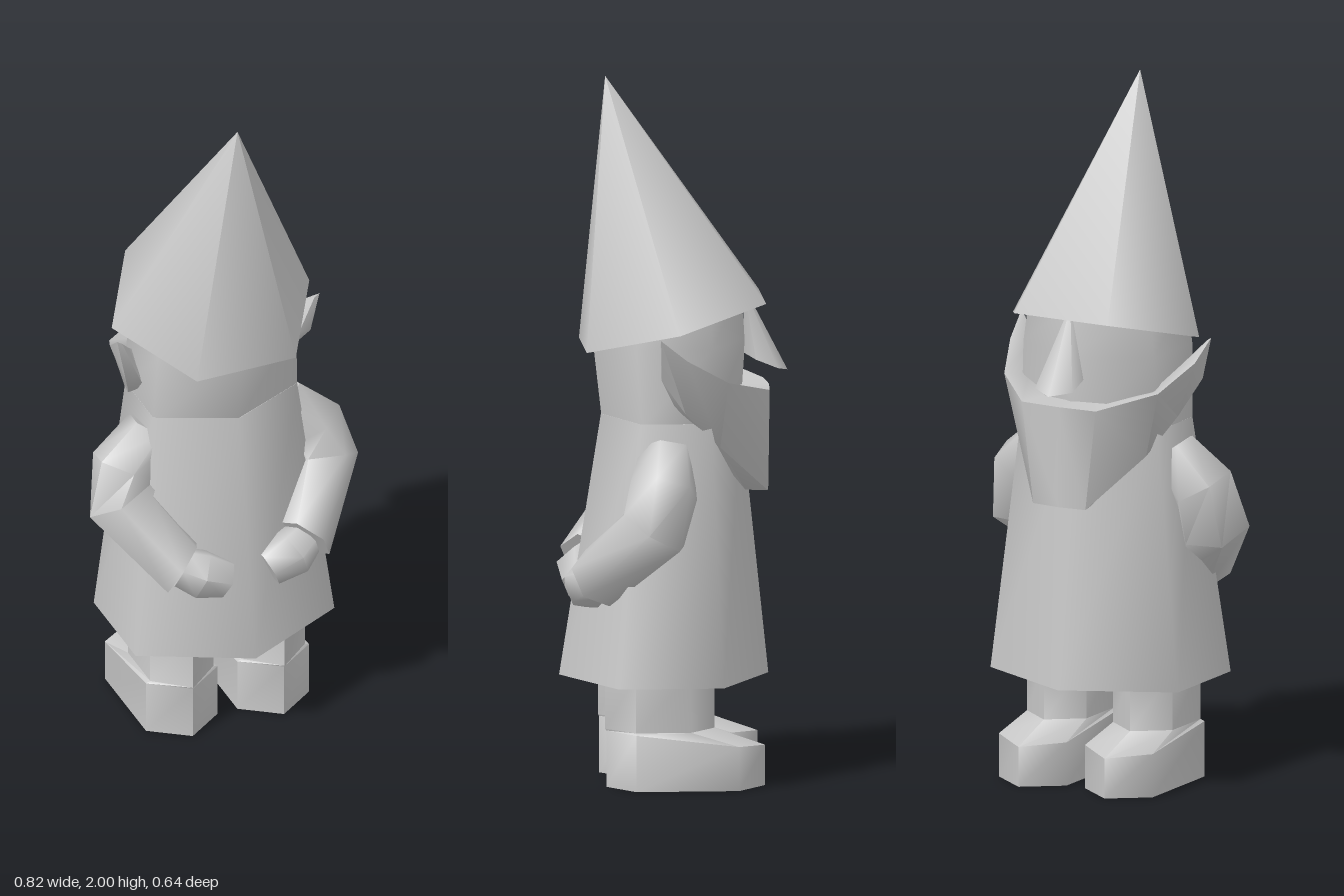
import * as THREE from 'three';
import { toCreasedNormals } from 'three/addons/utils/BufferGeometryUtils.js';

const stone = new THREE.MeshStandardMaterial({ color: 0xc8c8c8, side: THREE.DoubleSide });
stone.name = 'plain stone';

// Skins a chain of rings; a one-point ring makes a tip
function loft(rings, capStart = true, capEnd = true) {
  const pos = [];
  const tri = (a, b, c) => pos.push(...a, ...b, ...c);
  for (let k = 0; k < rings.length - 1; k++) {
    const p = rings[k], q = rings[k + 1], n = p.length;
    for (let i = 0; i < n; i++) {
      const j = (i + 1) % n;
      if (q.length === 1) { tri(p[i], p[j], q[0]); continue; }
      tri(p[i], p[j], q[j]);
      tri(p[i], q[j], q[i]);
    }
  }
  const first = rings[0], last = rings[rings.length - 1];
  if (capStart) for (let i = 1; i < first.length - 1; i++) tri(first[0], first[i + 1], first[i]);
  if (capEnd) for (let i = 1; i < last.length - 1; i++) tri(last[0], last[i], last[i + 1]);
  const g = new THREE.BufferGeometry();
  g.setAttribute('position', new THREE.Float32BufferAttribute(pos, 3));
  return toCreasedNormals(g, 1.2);
}

const mirror = rings => rings.map(r => r.map(([x, y, z]) => [-x, y, z]).reverse());

// Level six-sided ring; start turns it, yAt lets it slope with z
function hexRing(cx, cz, rx, rz, yAt, start = 0) {
  return Array.from({ length: 6 }, (_, i) => {
    const a = start + i * Math.PI / 3;
    const z = cz - rz * Math.sin(a);
    return [cx + rx * Math.cos(a), typeof yAt === 'number' ? yAt : yAt(z), z];
  });
}

// Six-sided ring square to a direction
function limbRing(c, d, r) {
  const dir = new THREE.Vector3(...d).normalize();
  const u = new THREE.Vector3().crossVectors(dir, new THREE.Vector3(1, 0, 1)).normalize();
  const v = new THREE.Vector3().crossVectors(dir, u);
  return Array.from({ length: 6 }, (_, i) => {
    const a = i * Math.PI / 3;
    return new THREE.Vector3(...c).addScaledVector(u, r * Math.cos(a))
      .addScaledVector(v, r * Math.sin(a)).toArray();
  });
}

export function createModel() {
  const model = new THREE.Group();
  const add = (name, geo) => {
    const m = new THREE.Mesh(geo, stone);
    m.name = name;
    model.add(m);
  };
  const addPair = (name, rings) => {
    add('left' + name, loft(rings));
    add('right' + name, loft(mirror(rings)));
  };
  const P = Math.PI / 6;

  // Robe and head, corners pointing along z
  add('robe', loft([
    hexRing(0, 0.025, 0.352, 0.295, 0.3, P),
    hexRing(0, 0.005, 0.255, 0.197, 1.04, P),
  ]));
  add('head', loft([
    hexRing(0, 0.005, 0.255, 0.195, 1.03, P),
    hexRing(0, 0.01, 0.245, 0.215, 1.25, P),
    hexRing(0, 0.01, 0.225, 0.2, 1.4, P),
  ]));

  // Tilted pointed hat, open below
  add('hat', loft([
    hexRing(0, 0, 0.303, 0.292, z => 1.302 - 0.265 * z),
    [[0, 2, 0.19]],
  ], false));

  // Nose
  add('nose', loft([
    hexRing(0, -0.262, 0.07, 0.062, z => 1.185 + 0.4 * (z + 0.262), P),
    [[0, 1.4, -0.2]],
  ]));

  // Beard: outer top, outer bottom, inner bottom, inner top
  const half = [
    [[0.31, 1.29, 0.055], [0.285, 1.17, 0.05], [0.25, 1.17, 0.05], [0.295, 1.28, 0.055]],
    [[0.3, 1.23, -0.02], [0.245, 1.07, -0.02], [0.2, 1.07, 0], [0.25, 1.22, 0]],
    [[0.25, 1.16, -0.14], [0.2, 0.97, -0.12], [0.15, 0.98, -0.08], [0.2, 1.15, -0.09]],
    [[0.12, 1.12, -0.265], [0.085, 0.83, -0.262], [0.07, 0.83, -0.2], [0.1, 1.12, -0.17]],
  ];
  const otherHalf = half.map(s => s.map(([x, y, z]) => [-x, y, z])).reverse();
  add('beard', loft([
    ...half,
    [[0, 1.12, -0.272], [0, 0.83, -0.27], [0, 0.83, -0.2], [0, 1.12, -0.19]],
    ...otherHalf,
  ]));

  // Bent arms and hands
  addPair('Arm', [
    limbRing([0.19, 0.96, 0.03], [0.5, -0.8, 0.1], 0.075),
    limbRing([0.28, 0.86, 0.045], [0.45, -0.9, 0.2], 0.1),
    limbRing([0.305, 0.75, 0.075], [-0.1, -0.8, 0.5], 0.108),
    limbRing([0.185, 0.6, 0.225], [-0.7, -0.5, 0.5], 0.088),
  ]);
  addPair('Hand', [
    limbRing([0.19, 0.6, 0.22], [-0.8, -0.4, 0.3], 0.06),
    limbRing([0.14, 0.58, 0.245], [-0.9, -0.4, 0.2], 0.074),
    limbRing([0.066, 0.55, 0.25], [-0.9, -0.4, 0.05], 0.058),
  ]);

  // Legs with boots, toes towards -z
  const boot = y => [
    [0.25, y, 0.12], [0.25, y, -0.17], [0.14, y, -0.25],
    [0.03, y, -0.17], [0.03, y, 0.12], [0.14, y, 0.197],
  ];
  const upper = boot(0).map(([x, , z]) => [x, z < -0.2 ? 0.115 : z < 0 ? 0.125 : 0.16, z]);
  const leg = y => [
    [0.237, y, 0.12], [0.237, y, -0.035], [0.14, y, -0.108],
    [0.043, y, -0.035], [0.043, y, 0.12], [0.14, y, 0.2],
  ];
  addPair('Leg', [boot(0), upper, leg(0.165), leg(0.33)]);

  return model;
}
